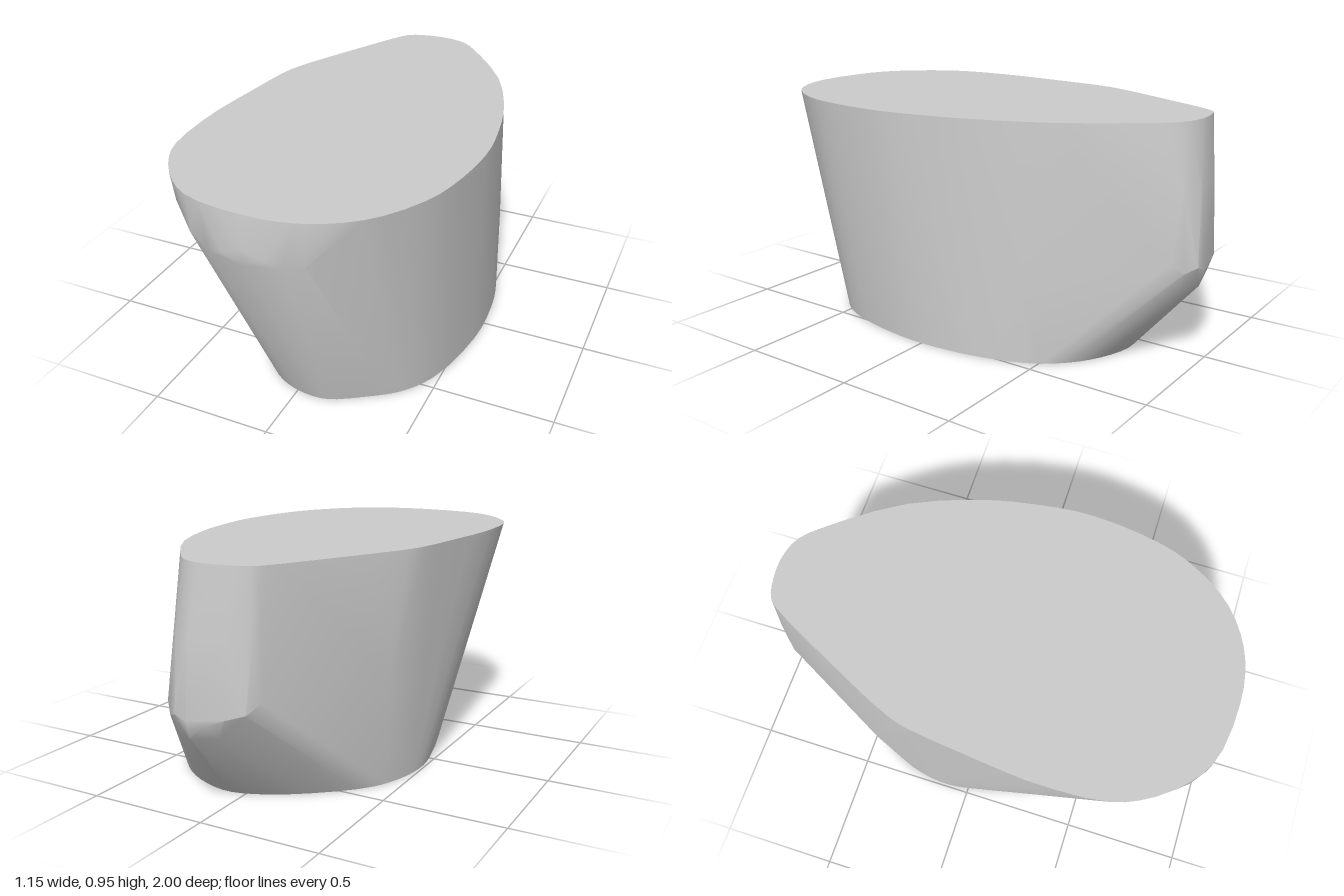
import * as THREE from 'three';
import { ConvexGeometry } from 'three/addons/geometries/ConvexGeometry.js';
import { toCreasedNormals } from 'three/addons/utils/BufferGeometryUtils.js';

// Outlines of the two flat faces as [x, z]
const TOP = [
  [-0.04, 0.985], [0.12, 0.97], [0.25, 0.92], [0.38, 0.82], [0.5, 0.63], [0.55, 0.45],
  [0.575, 0.2], [0.555, 0], [0.51, -0.22], [0.39, -0.53], [0.19, -0.81], [0.1, -0.9],
  [0, -0.93], [-0.1, -0.925], [-0.18, -0.9], [-0.22, -0.85], [-0.36, -0.58], [-0.485, -0.32],
  [-0.52, -0.21], [-0.55, 0.05], [-0.575, 0.3], [-0.56, 0.6], [-0.51, 0.73], [-0.4, 0.87], [-0.28, 0.95],
];
const BOTTOM = [
  [-0.02, 0.73], [0.12, 0.74], [0.27, 0.66], [0.39, 0.57], [0.48, 0.43], [0.55, 0.1],
  [0.545, -0.13], [0.52, -0.28], [0.45, -0.48], [0.35, -0.6], [0.22, -0.68], [0.08, -0.715],
  [-0.05, -0.68], [-0.2, -0.59], [-0.4, -0.405], [-0.47, -0.25], [-0.49, -0.1],
  [-0.465, 0.05], [-0.385, 0.32], [-0.22, 0.57], [-0.12, 0.68],
];

// Bulging points between the faces as [x, y, z]
const BULGES = [
  // back nose
  [0.05, 0.38, -1], [0.1, 0.4, -0.995], [0.15, 0.38, -0.96], [0.19, 0.42, -0.92],
  [-0.02, 0.37, -0.985], [-0.1, 0.4, -0.972], [-0.17, 0.42, -0.94], [-0.21, 0.46, -0.895],
  [0.05, 0.31, -0.98], [0.13, 0.31, -0.94], [-0.06, 0.32, -0.95],
  [0.05, 0.7, -0.97], [0.13, 0.7, -0.935], [-0.1, 0.7, -0.955], [-0.19, 0.7, -0.91],
  // left and right flanks
  [-0.475, 0.46, -0.4], [0.47, 0.3, -0.44],
  // front lip
  [-0.05, 0.75, 0.995], [-0.05, 0.82, 1], [0.03, 0.79, 0.995], [0.1, 0.76, 0.98],
  [0.18, 0.78, 0.957], [-0.13, 0.78, 0.993], [-0.2, 0.76, 0.975], [-0.29, 0.8, 0.945], [-0.38, 0.88, 0.885],
];

// Round off an outline at a given height
function ring(outline, y) {
  const curve = new THREE.CatmullRomCurve3(outline.map(([x, z]) => new THREE.Vector3(x, y, z)), true);
  return curve.getPoints(64).slice(0, -1).map((p) => p.setY(y));
}

export function createModel() {
  const group = new THREE.Group();
  const points = [
    ...ring(TOP, 0.95),
    ...ring(BOTTOM, 0),
    ...BULGES.map((p) => new THREE.Vector3(...p)),
  ];
  const body = new THREE.Mesh(
    toCreasedNormals(new ConvexGeometry(points), 0.45),
    new THREE.MeshStandardMaterial({ color: 0xcccccc }),
  );
  body.name = 'taperedBlock';
  group.add(body);
  return group;
}
